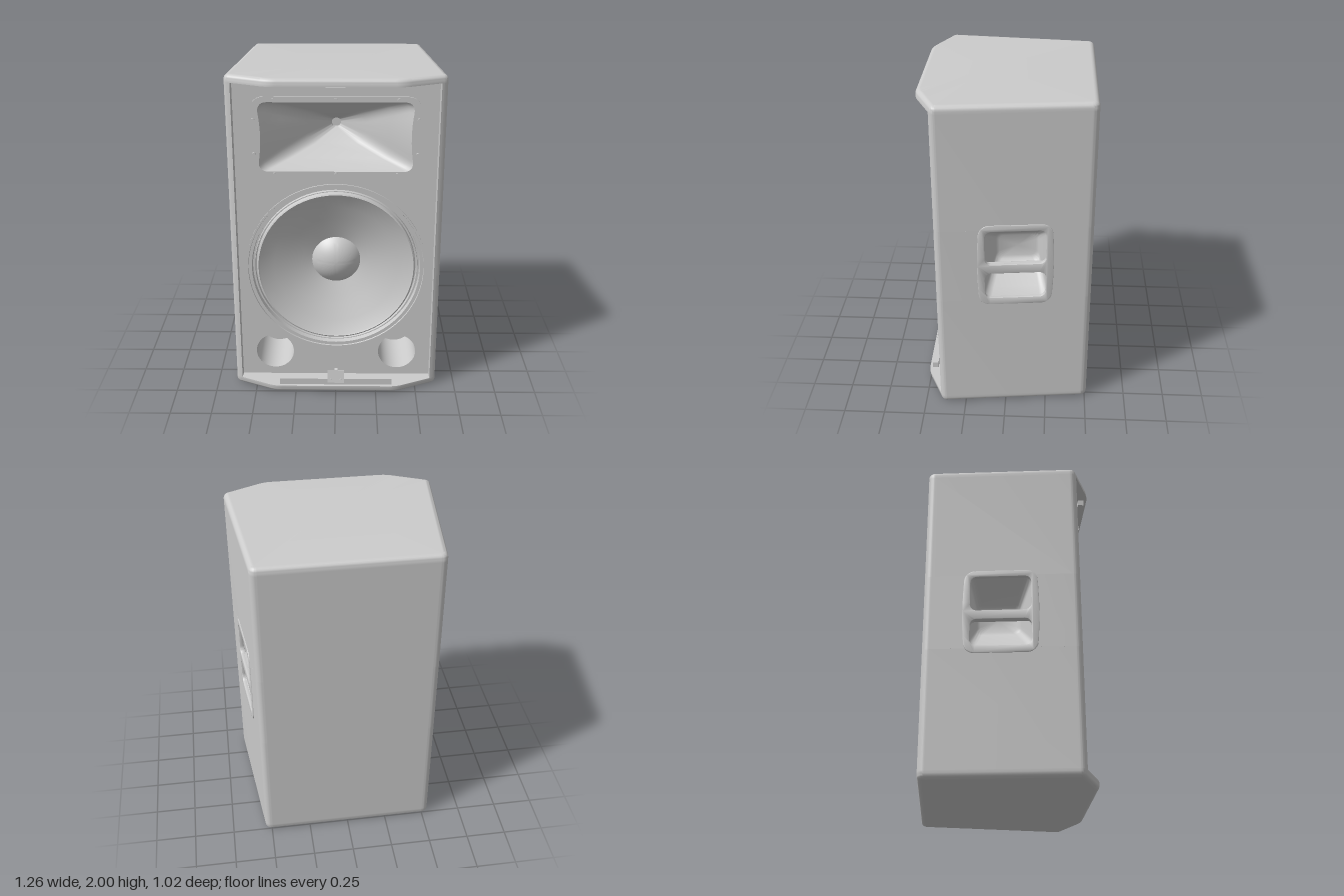
import * as THREE from 'three';
import { toCreasedNormals } from 'three/addons/utils/BufferGeometryUtils.js';
import { RoundedBoxGeometry } from 'three/addons/geometries/RoundedBoxGeometry.js';

const grey = new THREE.MeshStandardMaterial({ color: 0xcccccc });
const greyDouble = new THREE.MeshStandardMaterial({ color: 0xcccccc, side: THREE.DoubleSide });
const V2 = (x, y) => new THREE.Vector2(x, y);
const V3 = (x, y, z) => new THREE.Vector3(x, y, z);

const BAFFLE = 0.36;  // front plane of the baffle
const LIP = 0.045;    // thickness of the top and bottom caps
const TILT = 0.108;   // taper angle of the side walls
const sideX = z => 0.5403 + 0.1084 * (z + 0.4743);

function add(parent, name, geometry, x = 0, y = 0, z = 0, material = grey) {
  const mesh = new THREE.Mesh(geometry, material);
  mesh.name = name;
  mesh.position.set(x, y, z);
  parent.add(mesh);
  return mesh;
}

// Skin through equal-length closed loops, optionally closed by fans
function loft(loops, capStart, capEnd) {
  const pos = [];
  const tri = (...ps) => ps.forEach(p => pos.push(p.x, p.y, p.z));
  const n = loops[0].length;
  for (let i = 0; i < loops.length - 1; i++) {
    for (let j = 0; j < n; j++) {
      const k = (j + 1) % n;
      const a = loops[i][j], b = loops[i][k], c = loops[i + 1][k], d = loops[i + 1][j];
      tri(a, b, d);
      tri(b, c, d);
    }
  }
  const fan = (loop, flip) => {
    const mid = loop.reduce((s, p) => s.add(p), V3(0, 0, 0)).divideScalar(n);
    loop.forEach((p, j) => {
      const q = loop[(j + 1) % n];
      flip ? tri(mid, q, p) : tri(mid, p, q);
    });
  };
  if (capStart) fan(loops[0], true);
  if (capEnd) fan(loops[loops.length - 1], false);
  const g = new THREE.BufferGeometry();
  g.setAttribute('position', new THREE.Float32BufferAttribute(pos, 3));
  return toCreasedNormals(g, 0.8);
}

function arc(cx, cy, r, a0, a1, n = 8) {
  return Array.from({ length: n + 1 }, (_, i) => {
    const a = a0 + (a1 - a0) * i / n;
    return V2(cx + r * Math.cos(a), cy + r * Math.sin(a));
  });
}

// Arc with a short straight run at both ends, which keeps the neighbouring flats evenly shaded
function corner(cx, cy, r, a0, a1) {
  const pts = arc(cx, cy, r, a0, a1);
  const e = 0.006;
  const before = V2(pts[0].x + e * Math.sin(a0), pts[0].y - e * Math.cos(a0));
  const after = V2(pts[8].x - e * Math.sin(a1), pts[8].y + e * Math.cos(a1));
  return [before, ...pts, after];
}

// Counter-clockwise rounded rectangle; bow pushes the sides in or out at mid height
function roundRect(hw, hh, r, cx = 0, cy = 0, bow = 0) {
  const pts = [];
  const corners = [[1, -1], [1, 1], [-1, 1], [-1, -1]];
  corners.forEach(([sx, sy], i) => {
    const a = (i - 1) * Math.PI / 2;
    pts.push(...arc(sx * (hw - r), sy * (hh - r), r, a, a + Math.PI / 2, 7));
    if (i % 2 === 0) { // points along the upright sides
      for (let k = 1; k < 8; k++) pts.push(V2(sx * hw, sx * (hh - r) * (k / 4 - 1)));
    }
  });
  return pts.map(p => V2(cx + p.x * (1 + bow * (1 - (p.y / hh) ** 2)), cy + p.y));
}

function plate(points, holes, depth, bevel = 0) {
  const shape = new THREE.Shape(points);
  holes.forEach(h => shape.holes.push(new THREE.Path(h)));
  return toCreasedNormals(new THREE.ExtrudeGeometry(shape, {
    depth, bevelEnabled: bevel > 0, bevelSize: bevel, bevelOffset: -bevel,
    bevelThickness: bevel, bevelSegments: 2,
  }), 0.5);
}

// Lathe turned so that its axis points to the front
const dish = points => toCreasedNormals(
  new THREE.LatheGeometry(points.map(p => V2(...p)), 72).rotateX(Math.PI / 2), 0.5);

// Right half of the footprint in (x, z), back to front
const backArc = (d = 0) => corner(0.5005, -0.47, 0.04 - d, -Math.PI / 2, -TILT);
const frontArc = (d = 0) => corner(0.5965, 0.372, 0.035 - d, -TILT, 1.14);
const bendArc = (d = 0) => corner(0.336, 0.31, 0.2 - d, 1.14, Math.PI / 2);
const mirror = pts => pts.map(p => V2(-p.x, p.y)).reverse();

function footprint(d, y) {
  const half = [...backArc(d), ...frontArc(d), ...bendArc(d)];
  return [...half, ...mirror(half)].map(p => V3(p.x, y, p.y));
}

// Upright wall from an (x, z) outline
function wall(points, y0, y1) {
  return plate(points.map(p => V2(p.x, -p.y)), [], y1 - y0).rotateX(-Math.PI / 2).translate(0, y0, 0);
}

function cabinet(parent) {
  // Caps with a rounded outer edge
  const loops = [footprint(0, LIP)];
  for (let i = 0; i <= 5; i++) {
    const a = i / 5 * Math.PI / 2;
    loops.push(footprint(0.03 * (1 - Math.cos(a)), 0.03 * (1 - Math.sin(a))));
  }
  loops.push(footprint(0.034, 0));
  const capGeometry = loft(loops, true, true);
  add(parent, 'bottomCap', capGeometry);
  add(parent, 'topCap', capGeometry, 0, 2, 0).rotation.z = Math.PI;

  // Walls, leaving a window on each side behind the handle frames
  const frontTip = [V2(0.595, 0.411), V2(0.59, 0.33)];
  const full = [V2(0.503, -0.475), ...frontTip.slice().reverse(), ...frontArc().reverse(), ...backArc().reverse()];
  const whole = [...full, ...mirror(full)];
  const cutBack = -0.255, cutFront = 0.135;
  const rear = [V2(0.503, -0.475), V2(sideX(cutBack) - 0.036, cutBack), V2(sideX(cutBack), cutBack), ...backArc().reverse()];
  const post = [V2(sideX(cutFront), cutFront), ...frontArc(), ...frontTip, V2(sideX(cutFront) - 0.036, cutFront)];
  const y0 = 0.765, y1 = 1.24;
  add(parent, 'lowerWalls', wall(whole, LIP, y0));
  add(parent, 'upperWalls', wall(whole, y1, 2 - LIP));
  add(parent, 'middleBackWall', wall([...rear, ...mirror(rear)], y0, y1));
  add(parent, 'leftMiddlePost', wall(post, y0, y1));
  add(parent, 'rightMiddlePost', wall(mirror(post), y0, y1));
}

function handle(side) {
  const g = new THREE.Group();
  g.name = side > 0 ? 'leftHandle' : 'rightHandle';
  const holes = [roundRect(0.18, 0.111, 0.04, 0, 0.1165), roundRect(0.18, 0.085, 0.04, 0, -0.1375)];
  add(g, 'handleFrame', plate(roundRect(0.212, 0.268, 0.06, 0, 0, 0.06), holes, 0.022, 0.004), 0, 0, -0.0215);
  // Recess behind the grip, running straight inwards
  const sections = [[0.186, 0.231, 0.045, 0.0025, -0.012], [0.172, 0.195, 0.04, 0.012, -0.05],
    [0.136, 0.1, 0.035, 0.025, -0.165], [0.128, 0.088, 0.035, 0.025, -0.18], [0.11, 0.07, 0.03, 0.025, -0.188]];
  add(g, 'handleCup', loft(sections.map(([w, h, r, cy, z]) =>
    roundRect(w, h, r, -side * z * 0.13, cy).map(p => V3(p.x, p.y, z))), false, true), 0, 0, 0, greyDouble);
  add(g, 'handleGrip', new RoundedBoxGeometry(0.37, 0.06, 0.05, 3, 0.02), 0, -0.024, -0.024);
  g.position.set(side * sideX(-0.06), 1.0025, -0.06);
  g.rotation.y = side * (Math.PI / 2 + TILT);
  return g;
}

function horn(parent) {
  const g = new THREE.Group();
  g.name = 'horn';
  g.position.set(0, 1.625, BAFFLE);
  parent.add(g);
  const sections = [[0.46, 0.208, 0.06, 0.009, -0.05], [0.435, 0.2, 0.06, -0.03, -0.06],
    [0.335, 0.162, 0.065, -0.1, -0.06], [0.18, 0.098, 0.06, -0.2, -0.03], [0.03, 0.03, 0.03, -0.31, 0], [0.028, 0.028, 0.028, -0.33, 0]];
  const rings = sections.map(([w, h, r, z, bow]) => roundRect(w, h, r, 0, 0, bow).map(p => V3(p.x, p.y, z)));
  add(g, 'hornFlange', plate(roundRect(0.495, 0.24, 0.08), [rings[0].map(p => V2(p.x, p.y))], 0.019), 0, 0, -0.01);
  add(g, 'hornThroat', loft(rings, false, true), 0, 0, 0, greyDouble);
  // Flange screws
  const screw = new THREE.CylinderGeometry(0.01, 0.01, 0.02, 12).rotateX(Math.PI / 2);
  for (const s of [-1, 1]) {
    for (const x of [-0.36, 0, 0.36]) add(g, 'hornScrew', screw, x, s * 0.223, 0.009);
    for (const y of [-0.1, 0.105]) add(g, 'hornScrew', screw, s * 0.477, y, 0.009);
  }
}

function woofer(parent) {
  const g = new THREE.Group();
  g.name = 'woofer';
  g.position.set(0, 0.79, BAFFLE);
  parent.add(g);
  add(g, 'wooferRim', dish([[0.548, -0.01], [0.548, 0.009], [0.536, 0.009], [0.534, 0.001], [0.514, 0.001],
    [0.51, -0.032], [0.5, -0.032], [0.498, -0.012], [0.494, -0.012], [0.491, -0.032], [0.484, -0.032]]), 0, 0, 0, greyDouble);
  add(g, 'wooferCone', dish([[0.486, -0.032], [0.482, -0.008], [0.474, -0.004], [0.465, -0.01], [0.38, -0.047],
    [0.3, -0.08], [0.22, -0.111], [0.14, -0.138]]), 0, 0, 0, greyDouble);
  // Domed dust cap
  const dome = Array.from({ length: 11 }, (_, i) => {
    const a = 0.85 * (1 - i / 10);
    return [0.15 * Math.sin(a) / Math.sin(0.85), -0.134 + 0.07 * (Math.cos(a) - Math.cos(0.85)) / (1 - Math.cos(0.85))];
  });
  add(g, 'dustCap', dish(dome), 0, 0, 0, greyDouble);
}

function grilleMounts(parent) {
  // Mounting strips along the caps
  const strip = new THREE.BoxGeometry(0.7, 0.04, 0.036);
  add(parent, 'bottomStrip', strip, 0, LIP + 0.02, 0.473);
  add(parent, 'topStrip', strip, 0, 2 - LIP - 0.018, 0.473);
  add(parent, 'topClip', new THREE.BoxGeometry(0.11, 0.03, 0.05), 0, 1.934, 0.475);
  // Leaning clip plate with two screws and a narrow tongue behind
  const clip = new THREE.Group();
  clip.name = 'bottomClip';
  clip.position.set(0, 0.1, 0.486);
  clip.rotation.x = -0.22;
  parent.add(clip);
  add(clip, 'clipPlate', new THREE.BoxGeometry(0.104, 0.082, 0.005));
  const screw = new THREE.CylinderGeometry(0.006, 0.006, 0.008, 10).rotateX(Math.PI / 2);
  for (const s of [-1, 1]) add(clip, 'clipScrew', screw, s * 0.03, -0.02, 0.003);
  add(parent, 'clipTongue', new THREE.BoxGeometry(0.02, 0.005, 0.07), 0, 0.106, 0.448).rotation.x = 0.2;
}

export function createModel() {
  const model = new THREE.Group();
  model.name = 'loudspeaker';
  cabinet(model);

  // Baffle with openings for horn, woofer and ports
  const ports = [-0.385, 0.385];
  const circle = (x, y, r) => arc(x, y, r, 0, Math.PI * 2, 64).slice(0, -1);
  const holes = [circle(0, 0.79, 0.532), roundRect(0.475, 0.222, 0.07, 0, 1.625), ...ports.map(x => circle(x, 0.21, 0.118))];
  const outline = [V2(-0.597, 0.04), V2(0.597, 0.04), V2(0.597, 1.96), V2(-0.597, 1.96)];
  add(model, 'baffle', plate(outline, holes, 0.02), 0, 0, BAFFLE - 0.02);

  horn(model);
  woofer(model);
  for (const x of ports) {
    add(model, 'port', dish([[0.118, 0], [0.118, -0.35], [0, -0.35]]), x, 0.21, BAFFLE, greyDouble);
  }
  grilleMounts(model);
  for (const side of [-1, 1]) model.add(handle(side));
  return model;
}
